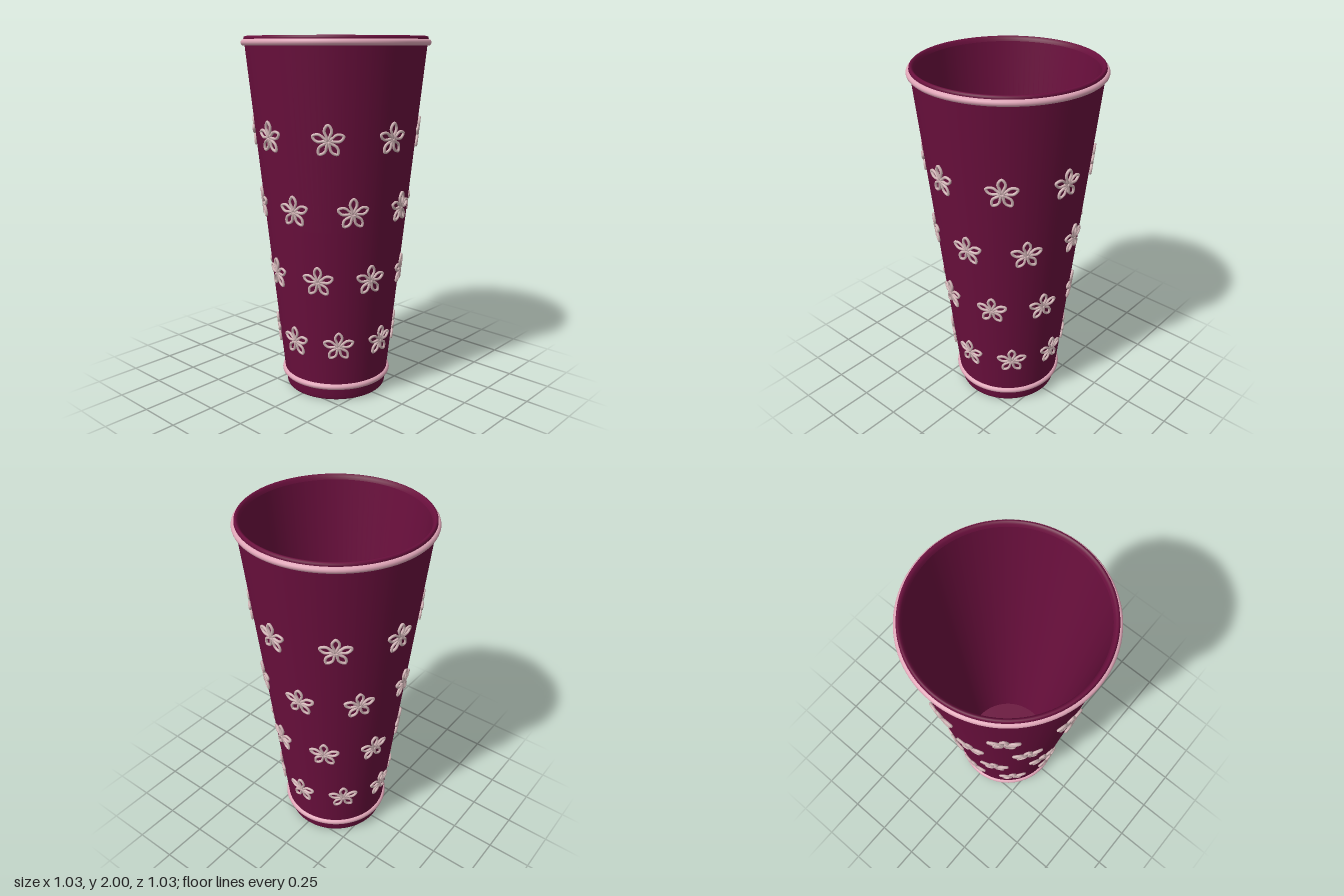
import * as THREE from 'three';
import { mergeGeometries } from 'three/addons/utils/BufferGeometryUtils.js';

// Outer wall radius at a given height
const wallRadius = (y) => 0.3 + (y - 0.085) * 0.1032;

// A petal outline as a closed tube, wrapped onto the tapered wall
function petalGeometry(angle, height, turn) {
  // half of the leaf outline: distance from hub, half width
  const half = [[0.028, 0.010], [0.048, 0.018], [0.066, 0.015]];
  const outline = [[0.008, 0], ...half, [0.082, 0], ...half.map(([d, w]) => [d, -w]).reverse()];
  const points = outline.map(([d, w]) => {
    const u = d * Math.sin(turn) + w * Math.cos(turn);
    const y = height + d * Math.cos(turn) - w * Math.sin(turn);
    const r = wallRadius(y) + 0.008;
    const a = angle + u / wallRadius(height);
    return new THREE.Vector3(r * Math.sin(a), y, r * Math.cos(a));
  });
  return new THREE.TubeGeometry(new THREE.CatmullRomCurve3(points, true), 26, 0.0075, 6, true);
}

export function createModel() {
  const model = new THREE.Group();
  const cupColor = new THREE.MeshStandardMaterial({ color: 0x6a0f3d });
  cupColor.name = 'burgundy';
  const trimColor = new THREE.MeshStandardMaterial({ color: 0xe0a6b8 });
  trimColor.name = 'pink trim';
  const flowerColor = new THREE.MeshStandardMaterial({ color: 0xd6b8ba });
  flowerColor.name = 'pale rose';

  const add = (name, geometry, material) => {
    const mesh = new THREE.Mesh(geometry, material);
    mesh.name = name;
    model.add(mesh);
    return mesh;
  };
  const lathe = (profile) =>
    new THREE.LatheGeometry(profile.map(([r, y]) => new THREE.Vector2(r, y)), 96);

  // Underside and inner floor
  add('underside', lathe([[0, 0], [0.282, 0]]), cupColor);
  add('innerFloor', lathe([[0.262, 0.05], [0, 0.05]]), cupColor);

  // Outer wall with a small rounded foot
  add('outerWall', lathe([
    [0.282, 0], [0.286, 0.003], [0.289, 0.01], [0.292, 0.03],
    [0.3, 0.085], [wallRadius(1), 1], [wallRadius(1.97), 1.97],
  ]), cupColor);

  // Rounded lip
  add('lip', lathe([
    [wallRadius(1.97), 1.97], [0.499, 1.985], [0.497, 1.995], [0.491, 2],
    [0.484, 1.999], [0.476, 1.99], [0.471, 1.975],
  ]), cupColor);

  // Inner wall
  add('innerWall', lathe([[0.471, 1.975], [0.366, 1.01], [0.262, 0.05]]), cupColor);

  // Trim rings around the rim and foot
  for (const [name, radius, y] of [['rimRing', 0.497, 1.967], ['footRing', 0.3, 0.085]]) {
    const ring = add(name, new THREE.TorusGeometry(radius, 0.017, 12, 96), trimColor);
    ring.rotation.x = Math.PI / 2;
    ring.position.y = y;
  }

  // Four rows of eight flowers, each row turned further around the cup
  for (let row = 0; row < 4; row++) {
    const petals = [];
    for (let i = 0; i < 8; i++) {
      const angle = THREE.MathUtils.degToRad(i * 45 + row * 27.5);
      for (let p = 0; p < 5; p++) {
        petals.push(petalGeometry(angle, 0.34 + row * 0.382, (p * Math.PI * 2) / 5));
      }
    }
    add('flowerRow' + (row + 1), mergeGeometries(petals), flowerColor);
  }
  return model;
}
